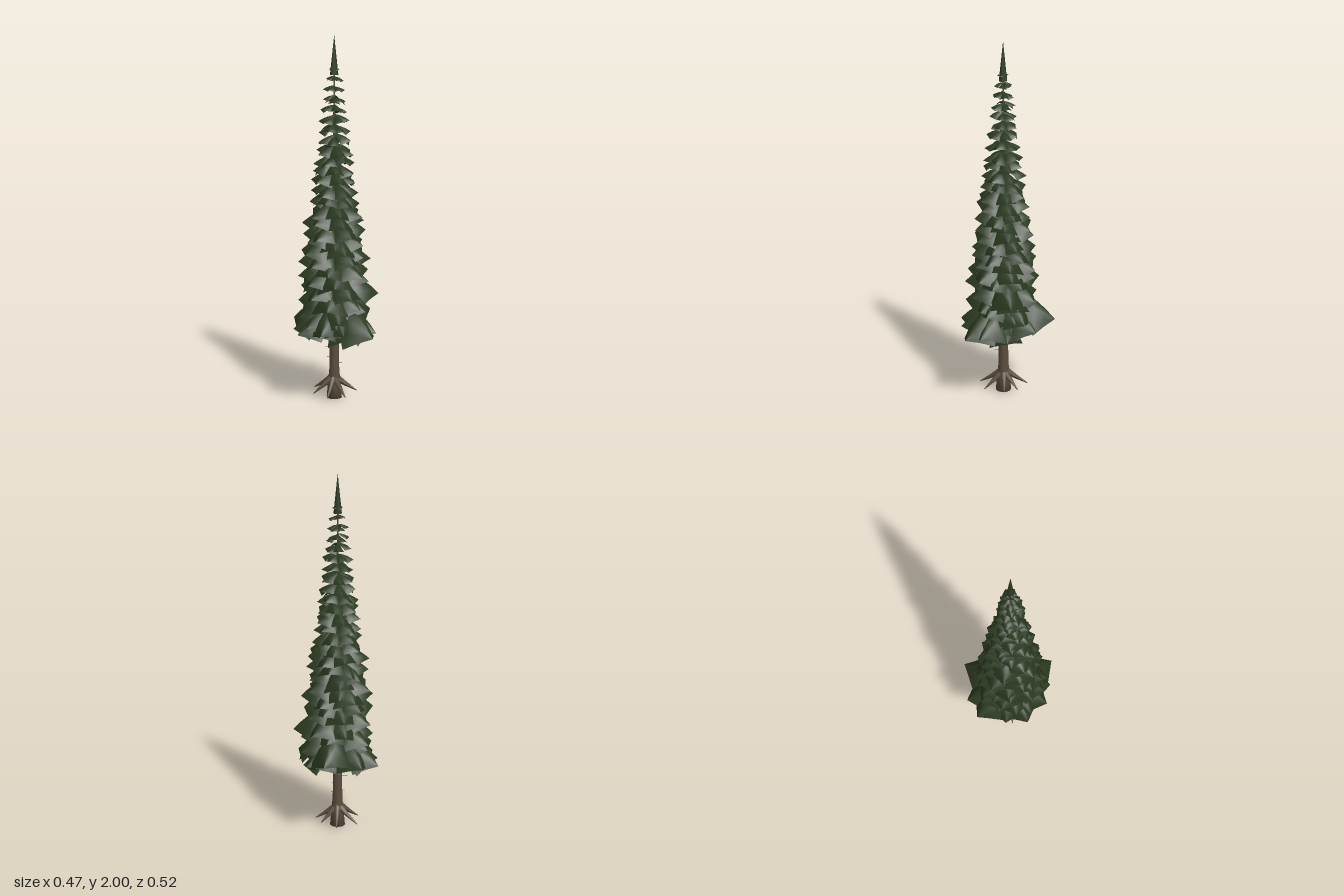
import * as THREE from 'three';
import { mergeGeometries } from 'three/addons/utils/BufferGeometryUtils.js';

const CX = -0.01, CZ = 0.02; // trunk axis

const foliageGreen = new THREE.MeshStandardMaterial({ color: 0x2a3920, side: THREE.DoubleSide });
foliageGreen.name = 'foliageGreen';
const barkBrown = new THREE.MeshStandardMaterial({ color: 0x5a4d3d });
barkBrown.name = 'barkBrown';

// Small seeded generator, 0..1
function seeded(seed) {
  let s = seed;
  return () => (s = (s * 16807) % 2147483647) / 2147483647;
}

// Tip radius of the foliage at a given height
const ENVELOPE = [[0.36, 0.195], [0.42, 0.222], [0.6, 0.218], [0.8, 0.202], [1.0, 0.174], [1.2, 0.14], [1.4, 0.107], [1.6, 0.08], [1.76, 0.055], [1.84, 0.024]];
function radiusAt(y) {
  for (let i = 1; i < ENVELOPE.length; i++) {
    const [y0, r0] = ENVELOPE[i - 1], [y1, r1] = ENVELOPE[i];
    if (y <= y1) return THREE.MathUtils.lerp(r0, r1, (y - y0) / (y1 - y0));
  }
  return 0.024;
}

// A kite-shaped, domed branch spray whose sides hang below its tip
function spray(angle, tipY, length, droop, halfWidth, fold, roll) {
  const pos = [], index = [];
  const N = 5, M = 6;
  const c = Math.cos(angle), s = Math.sin(angle);
  for (let i = 0; i <= N; i++) {
    const t = [0, 0.25, 0.45, 0.64, 0.82, 1][i];
    const w = halfWidth * (t < 0.64 ? 0.15 + 0.85 * t / 0.64 : 1 - 0.99 * (t - 0.64) / 0.36);
    const ridge = tipY + length * droop * (1 - 0.2 * t - 0.8 * t * t);
    for (let j = 0; j <= M; j++) {
      const u = j / M * 2 - 1;
      const r = t * length, z = u * w;
      pos.push(CX + c * r - s * z, ridge - fold * w * Math.pow(Math.abs(u), 1.8) + roll * z, CZ + s * r + c * z);
      if (i < N && j < M) {
        const a = i * (M + 1) + j, b = a + M + 1;
        index.push(a, a + 1, b, b, a + 1, b + 1);
      }
    }
  }
  const g = new THREE.BufferGeometry();
  g.setAttribute('position', new THREE.Float32BufferAttribute(pos, 3));
  g.setIndex(index);
  g.computeVertexNormals();
  return g;
}

function buildFoliage() {
  const rand = seeded(4217);
  const parts = [];
  // Longest low sprays, given by their tips
  const tips = [
    [0.07, 0.46, -0.26], [0.235, 0.59, 0], [0.21, 0.41, 0.165], [0.185, 0.4, 0.245],
    [0.03, 0.42, 0.258], [-0.09, 0.42, 0.253], [-0.213, 0.4, 0.157], [-0.235, 0.4, 0.03],
    [-0.23, 0.42, -0.14], [-0.138, 0.43, -0.213], [0.165, 0.42, -0.143], [0.195, 0.48, -0.08]
  ];
  for (const [x, y, z] of tips) {
    const dx = x - CX, dz = z - CZ, L = Math.hypot(dx, dz);
    parts.push(spray(Math.atan2(dz, dx), y, L, 0.6, L * 0.4, 1.2, (rand() - 0.5) * 0.3));
  }
  // Whorls up the trunk, each turned against the one below
  const tiers = 27;
  for (let k = 0; k < tiers; k++) {
    const y = 0.385 + k * 0.0552;
    const low = 1 - k / (tiers - 1);
    const count = 6;
    for (let i = 0; i < count; i++) {
      const tipY = y + (rand() - 0.5) * (0.01 + 0.045 * low);
      const L = radiusAt(tipY) * (0.87 + 0.13 * rand());
      const angle = k * 2.4 + (i + (rand() - 0.5) * 0.4) / count * Math.PI * 2;
      parts.push(spray(angle, tipY, L, 0.32 + 0.28 * low, L * (0.43 + 0.07 * rand()),
        0.65 + 0.45 * low, (rand() - 0.5) * 0.4));
    }
  }
  return mergeGeometries(parts);
}

// Tapered root: a cone bent downward along its length
function buildRoot(angle, reach, startY, endY) {
  const g = new THREE.CylinderGeometry(0.002, 0.021, 1, 7, 5, true);
  const p = g.attributes.position;
  for (let i = 0; i < p.count; i++) {
    const t = p.getY(i) + 0.5;
    const x = t * reach, y = THREE.MathUtils.lerp(startY, endY, Math.pow(t, 0.85)) - p.getX(i);
    p.setXYZ(i, x + p.getX(i) * -0.5, y, p.getZ(i));
  }
  g.computeVertexNormals();
  g.rotateY(-angle);
  g.translate(CX, 0, CZ);
  return g;
}

export function createModel() {
  const model = new THREE.Group();
  model.name = 'conifer';
  const add = (name, geometry, material) => {
    const mesh = new THREE.Mesh(geometry, material);
    mesh.name = name;
    model.add(mesh);
    return mesh;
  };

  // Trunk, flared at the foot
  const profile = [[0, 0], [0.044, 0], [0.037, 0.08], [0.029, 0.16], [0.025, 0.35], [0.017, 0.9], [0.007, 1.4], [0.003, 1.85], [0, 1.86]];
  add('trunk', new THREE.LatheGeometry(profile.map(([r, y]) => new THREE.Vector2(r, y)), 10), barkBrown)
    .position.set(CX, 0, CZ);

  // Spreading roots
  const rand = seeded(93);
  const roots = [];
  for (let i = 0; i < 7; i++) {
    roots.push(buildRoot(0.2 + i * Math.PI * 2 / 7 + (rand() - 0.5) * 0.3, 0.12 + rand() * 0.02,
      0.12 + rand() * 0.015, 0.03 + rand() * 0.012));
  }
  add('roots', mergeGeometries(roots), barkBrown);

  // Thin dead twigs on the bare trunk
  const twigs = [];
  for (let i = 0; i < 6; i++) {
    const g = new THREE.CylinderGeometry(0.0006, 0.0014, 0.036, 4);
    g.rotateZ(-Math.PI / 2 + (rand() - 0.5) * 0.5);
    g.translate(0.038, 0.2 + i * 0.024, 0);
    g.rotateY(i * 2.4);
    g.translate(CX, 0, CZ);
    twigs.push(g);
  }
  add('twigs', mergeGeometries(twigs), barkBrown);

  add('foliage', buildFoliage(), foliageGreen);

  // Pointed leader at the top
  add('treetop', new THREE.ConeGeometry(0.023, 0.21, 7), foliageGreen).position.set(CX, 1.895, CZ);

  return model;
}
